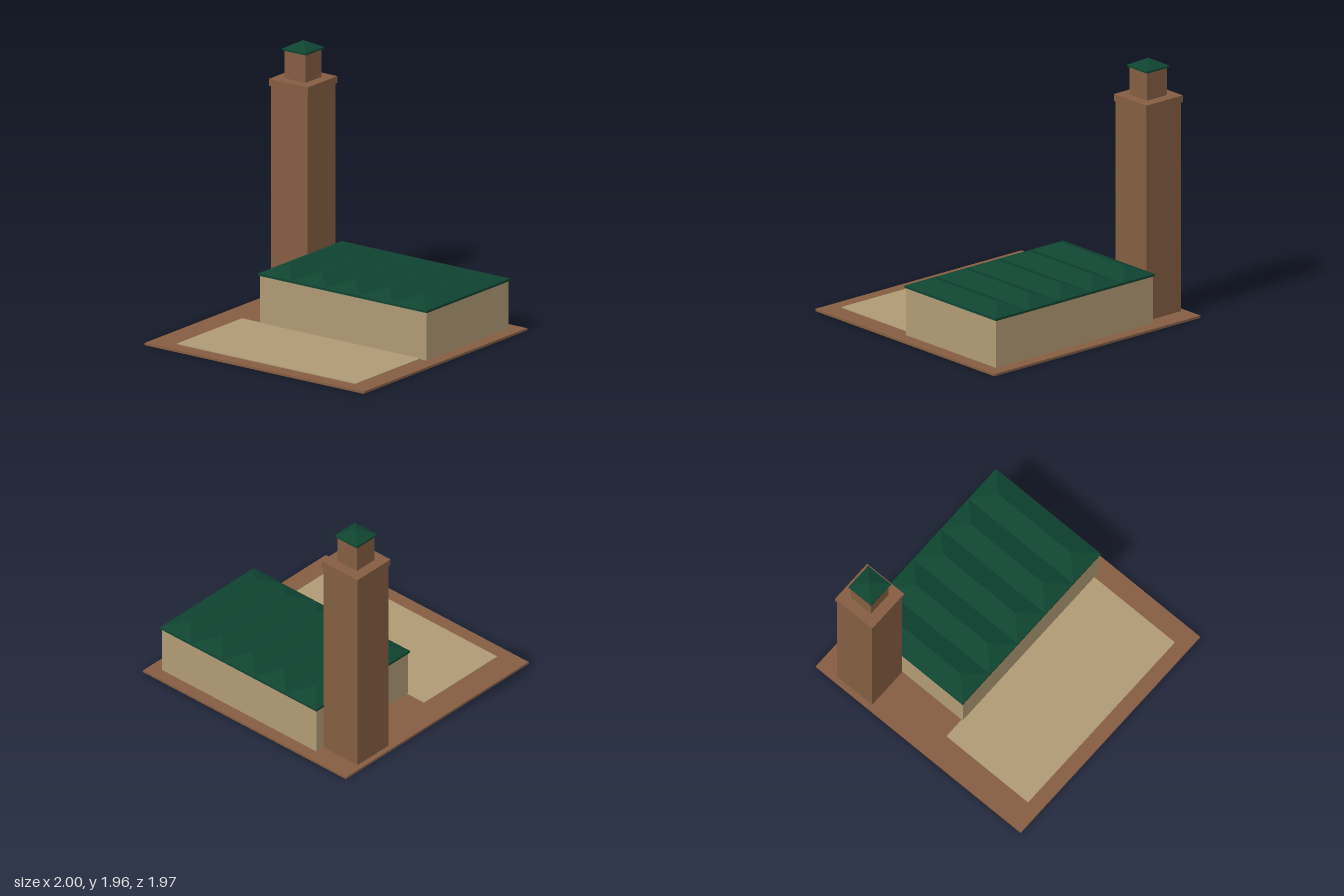
import * as THREE from 'three';

const mat = (name, color) => {
  const m = new THREE.MeshStandardMaterial({ color });
  m.name = name;
  return m;
};

// Box given by its limits on each axis
function block(name, material, [x0, x1], [y0, y1], [z0, z1]) {
  const mesh = new THREE.Mesh(new THREE.BoxGeometry(x1 - x0, y1 - y0, z1 - z0), material);
  mesh.position.set((x0 + x1) / 2, (y0 + y1) / 2, (z0 + z1) / 2);
  mesh.name = name;
  return mesh;
}

// Hipped roof with its ridge along z; with inset = half the depth it is a pyramid
function hip(name, material, [x0, x1], [y0, y1], [z0, z1], inset) {
  const xm = (x0 + x1) / 2;
  const a = [x0, y0, z1], b = [x1, y0, z1], c = [x1, y0, z0], d = [x0, y0, z0];
  const f = [xm, y1, z1 - inset], r = [xm, y1, z0 + inset];
  const faces = [[a, b, f], [c, d, r], [b, c, r], [d, a, f]];
  if (z1 - z0 - 2 * inset > 1e-4) faces.push([b, r, f], [d, f, r]);
  const geo = new THREE.BufferGeometry();
  geo.setAttribute('position', new THREE.Float32BufferAttribute(faces.flat(2), 3));
  geo.computeVertexNormals();
  const mesh = new THREE.Mesh(geo, material);
  mesh.name = name;
  return mesh;
}

export function createModel() {
  const brick = mat('brick brown', 0x845d41);
  const sand = mat('sand', 0xb09a74);
  const green = mat('dark green', 0x0f4431);
  const model = new THREE.Group();
  model.name = 'hallWithTower';

  // Ground slab and courtyard paving
  model.add(block('base', brick, [-1, 1], [0, 0.018], [-0.985, 0.985]));
  model.add(block('courtyard', sand, [-0.79, 0.845], [0.018, 0.025], [0.09, 0.875]));

  // Hall with five parallel hipped roofs on an eaves slab
  const hall = new THREE.Group();
  hall.name = 'hall';
  hall.add(block('hallWalls', sand, [-0.62, 0.9], [0.018, 0.385], [-0.89, 0.1]));
  hall.add(block('hallEaves', green, [-0.63, 0.91], [0.383, 0.4], [-0.9, 0.107]));
  const bay = 1.54 / 5;
  for (let i = 0; i < 5; i++) {
    const x = -0.63 + i * bay;
    hall.add(hip('hallRoofBay', green, [x, x + bay], [0.4, 0.461], [-0.9, 0.107], 0.16));
  }
  model.add(hall);

  // Tower: stacked square blocks about one axis, with a pyramid cap
  const tower = new THREE.Group();
  tower.name = 'tower';
  const cx = -0.79, cz = -0.648;
  const span = (c, half) => [c - half, c + half];
  const tier = (name, material, half, y) =>
    tower.add(block(name, material, span(cx, half), y, span(cz, half)));
  tier('towerShaft', brick, 0.168, [0.018, 1.625]);
  tier('towerParapet', brick, 0.178, [1.625, 1.677]);
  tier('towerLantern', brick, 0.096, [1.677, 1.89]);
  tier('lanternEaves', green, 0.109, [1.89, 1.904]);
  tower.add(hip('lanternRoof', green, span(cx, 0.109), [1.904, 1.962], span(cz, 0.109), 0.109));
  model.add(tower);

  return model;
}
